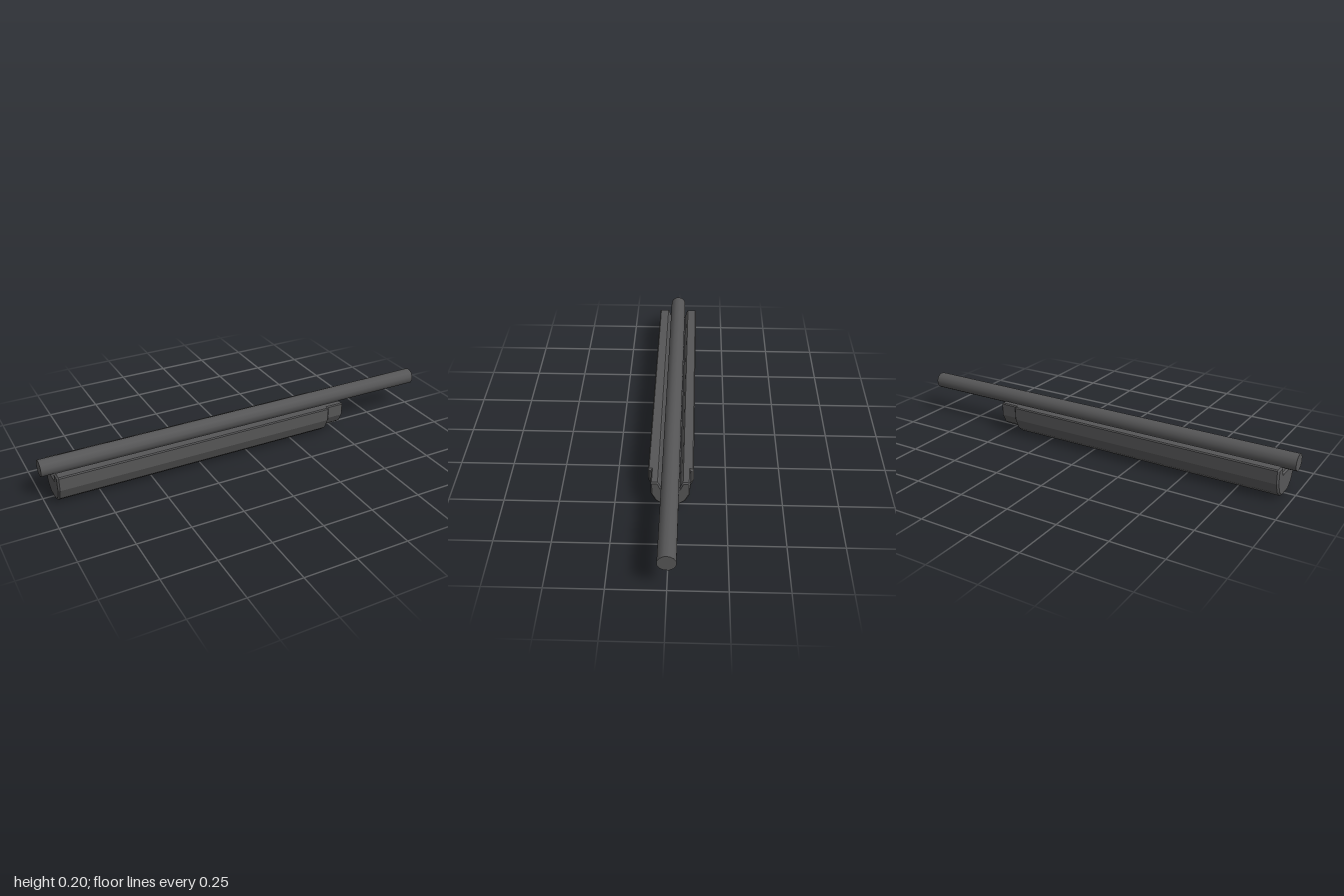
import * as THREE from 'three';

const gunmetal = new THREE.MeshStandardMaterial({ color: 0x565657 });
gunmetal.name = 'darkGrey';

// Chamfered U-channel running along x; half holds [z, y] points from bottom to groove
function channel(name, half, x0, x1, bevel) {
  const mirrored = half.map(([z, y]) => [-z, y]).reverse();
  const points = [...half, ...mirrored].map(([z, y]) => new THREE.Vector2(z, y));
  const geometry = new THREE.ExtrudeGeometry(new THREE.Shape(points), {
    depth: x1 - x0 - 2 * bevel,
    bevelEnabled: true,
    bevelThickness: bevel,
    bevelSize: bevel,
    bevelOffset: -bevel,
    bevelSegments: 1,
  });
  geometry.rotateY(Math.PI / 2);
  geometry.translate(x0 + bevel, 0, 0);
  const mesh = new THREE.Mesh(geometry, gunmetal);
  mesh.name = name;
  return mesh;
}

export function createModel() {
  const model = new THREE.Group();
  model.name = 'barrelAndForeEnd';

  // Long twelve-sided rod resting above the groove
  const rod = new THREE.CylinderGeometry(0.04, 0.04, 2, 12, 1, false, Math.PI / 12);
  rod.rotateZ(Math.PI / 2);
  const barrel = new THREE.Mesh(rod, gunmetal);
  barrel.name = 'barrel';
  barrel.position.y = 0.1595;
  model.add(barrel);

  // Main grip with clipped top edges
  model.add(channel('foreEnd', [
    [0.035, 0], [0.046, 0.004], [0.075, 0.027], [0.082, 0.036], [0.102, 0.083],
    [0.102, 0.144], [0.097, 0.149], [0.056, 0.149], [0.051, 0.144], [0.041, 0.112],
  ], -0.95, 0.44, 0.008));

  // Smaller collar at the front of the grip
  model.add(channel('frontCollar', [
    [0.04, 0.024], [0.066, 0.043], [0.087, 0.085],
    [0.087, 0.144], [0.082, 0.149], [0.056, 0.149], [0.051, 0.144], [0.041, 0.118],
  ], 0.425, 0.53, 0.006));

  return model;
}
